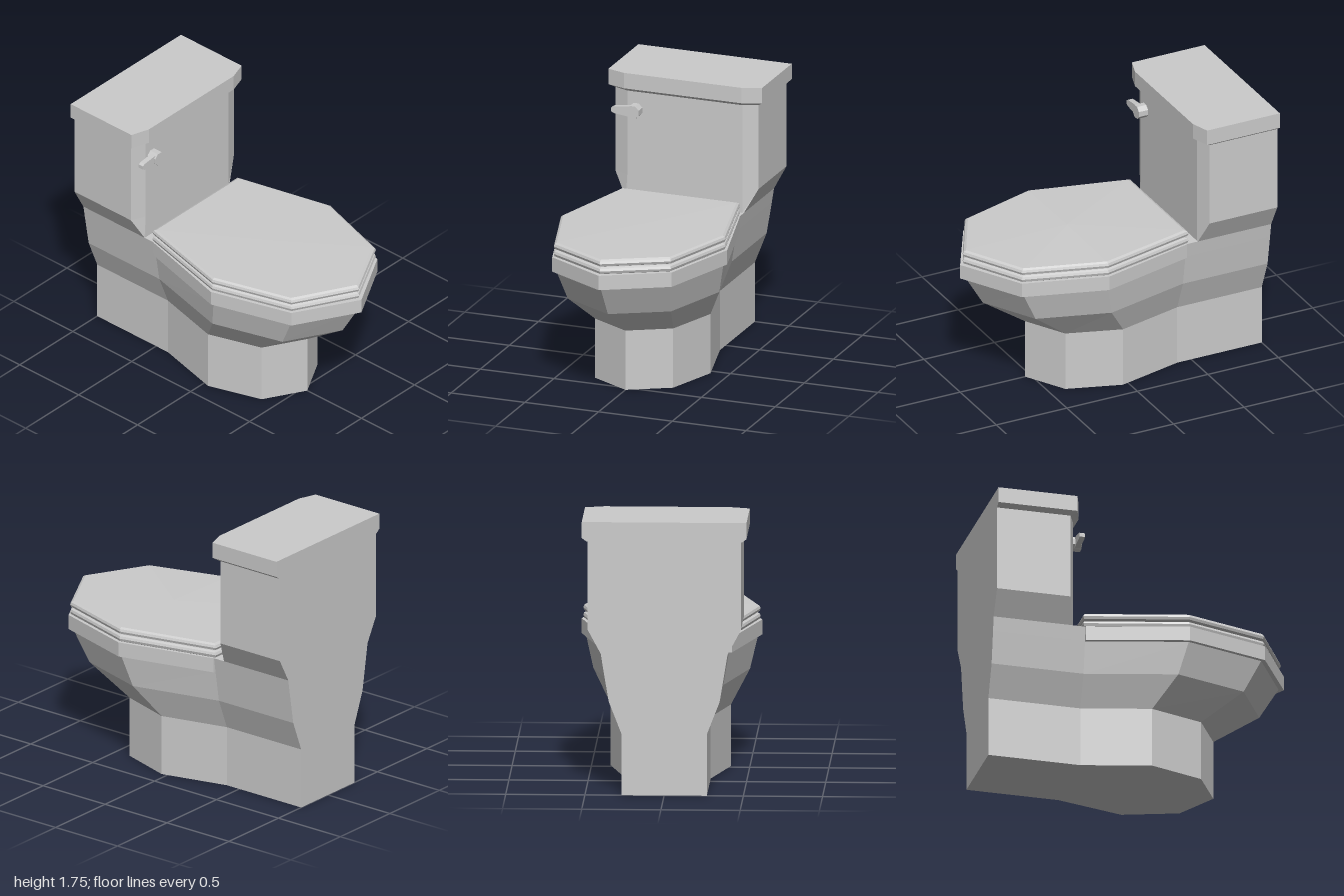
import * as THREE from 'three';

const material = new THREE.MeshStandardMaterial({ color: 0xcccccc, flatShading: true });

// Half outline (back to tip, +z side) mirrored into a closed loop of [x, z]
function mirrorOutline(half) {
  const back = half.filter(([, z]) => z > 0).reverse().map(([x, z]) => [x, -z]);
  return [...half, ...back];
}

// Skin a stack of levels { y, half }; optional caps fan out from [x, y]
function loft(levels, bottomCap, topCap) {
  const rings = levels.map(({ y, half }) => mirrorOutline(half).map(([x, z]) => [x, y, z]));
  const n = rings[0].length;
  const pos = [];
  const tri = (a, b, c) => pos.push(...a, ...b, ...c);
  for (let r = 0; r < rings.length - 1; r++) {
    for (let i = 0; i < n; i++) {
      const j = (i + 1) % n;
      const lower = rings[r], upper = rings[r + 1];
      tri(lower[i], lower[j], upper[j]);
      tri(lower[i], upper[j], upper[i]);
    }
  }
  const first = rings[0], last = rings[rings.length - 1];
  for (let i = 0; i < n; i++) {
    const j = (i + 1) % n;
    if (bottomCap) tri([bottomCap[0], bottomCap[1], 0], first[j], first[i]);
    if (topCap) tri([topCap[0], topCap[1], 0], last[i], last[j]);
  }
  const geometry = new THREE.BufferGeometry();
  geometry.setAttribute('position', new THREE.Float32BufferAttribute(pos, 3));
  geometry.computeVertexNormals();
  return geometry;
}

// Shrink a half outline about a point on the centre line
const scaled = (half, s, cx = 0.28) => half.map(([x, z]) => [cx + (x - cx) * s, z * s]);

export function createModel() {
  const model = new THREE.Group();
  model.name = 'toilet';
  const add = (name, geometry, parent = model) => {
    const mesh = new THREE.Mesh(geometry, material);
    mesh.name = name;
    parent.add(mesh);
    return mesh;
  };

  // Pedestal flaring into the bowl, running back under the tank
  const foot = [[-1, 0.27], [-0.4, 0.27], [0.04, 0.38], [0.39, 0.265], [0.54, 0]];
  const bowlTop = [[-1, 0.385], [-0.4, 0.385], [0.235, 0.545], [0.75, 0.385], [0.965, 0]];
  add('bowlAndPedestal', loft([
    { y: 0, half: foot },
    { y: 0.395, half: foot },
    { y: 0.6, half: [[-1, 0.35], [-0.4, 0.35], [0.18, 0.495], [0.645, 0.35], [0.84, 0]] },
    { y: 0.81, half: bowlTop },
    { y: 0.905, half: [[-1, 0.4], [-0.4, 0.4], [0.235, 0.545], [0.75, 0.385], [0.965, 0]] },
  ], [-0.2, 0], [-0.2, 0.905]));

  // Rim band around the bowl
  const rim = [[-0.4, 0.405], [0.235, 0.57], [0.77, 0.405], [1, 0]];
  add('rim', loft([{ y: 0.81, half: rim }, { y: 0.906, half: rim }], [0.25, 0.81], [0.25, 0.906]));

  // Seat ring: outer bulge, then over the top and down the inside
  const seat = [[-0.415, 0.4], [0.235, 0.56], [0.765, 0.397], [0.982, 0]];
  const seatProfile = [[0.97, 0.905], [0.99, 0.911], [1, 0.928], [0.99, 0.943], [0.965, 0.95],
    [0.62, 0.95], [0.6, 0.928], [0.62, 0.905], [0.97, 0.905]];
  add('seat', loft(seatProfile.map(([s, y]) => ({ y, half: scaled(seat, s) }))));

  // Closed seat cover with a rounded edge and a slightly crowned top
  const coverProfile = [[0.965, 0.955], [0.99, 0.961], [1, 0.977], [0.99, 0.992], [0.965, 1.001]];
  add('seatCover', loft(coverProfile.map(([s, y]) => ({ y, half: scaled(seat, s) })),
    [0.25, 0.955], [0.24, 1.013]));

  // Bumpers between cover and seat
  for (const [x, z] of [[-0.2, 0.38], [0.7, 0.3]]) {
    for (const side of [1, -1]) {
      add('coverBumper', new THREE.BoxGeometry(0.05, 0.012, 0.05)).position.set(x, 0.952, z * side);
    }
  }

  // Tank, tapering at the bottom to meet the bowl
  const tank = [[-1, 0.485], [-0.52, 0.485], [-0.48, 0.39], [-0.48, 0]];
  add('tank', loft([
    { y: 0.905, half: [[-1, 0.4], [-0.481, 0.4], [-0.48, 0.39], [-0.48, 0]] },
    { y: 1.063, half: tank },
    { y: 1.63, half: tank },
  ], [-0.74, 0.905], [-0.74, 1.63]));

  // Tank lid with a bevelled lower edge
  const lid = [[-1, 0.52], [-0.485, 0.52], [-0.445, 0.4], [-0.445, 0]];
  add('tankLid', loft([
    { y: 1.625, half: [[-1, 0.49], [-0.515, 0.49], [-0.473, 0.385], [-0.473, 0]] },
    { y: 1.647, half: lid },
    { y: 1.75, half: lid },
  ], [-0.72, 1.625], [-0.72, 1.75]));

  // Flush lever: octagonal knob with a tapering arm
  const lever = new THREE.Group();
  lever.name = 'flushLever';
  lever.position.set(-0.48, 1.503, 0.33);
  model.add(lever);
  const knob = new THREE.CylinderGeometry(0.046, 0.046, 0.07, 8);
  knob.rotateY(Math.PI / 8).rotateZ(-Math.PI / 2).translate(0.03, 0, 0);
  add('leverKnob', knob, lever);
  const armShape = new THREE.Shape([[0, -0.038], [0.13, -0.022], [0.148, -0.012], [0.148, 0.012],
    [0.13, 0.022], [0, 0.038]].map(([z, y]) => new THREE.Vector2(-z, y)));
  const arm = new THREE.ExtrudeGeometry(armShape, { depth: 0.035, bevelEnabled: false });
  arm.rotateY(Math.PI / 2).translate(0.02, 0, 0);
  add('leverArm', arm, lever);

  return model;
}
